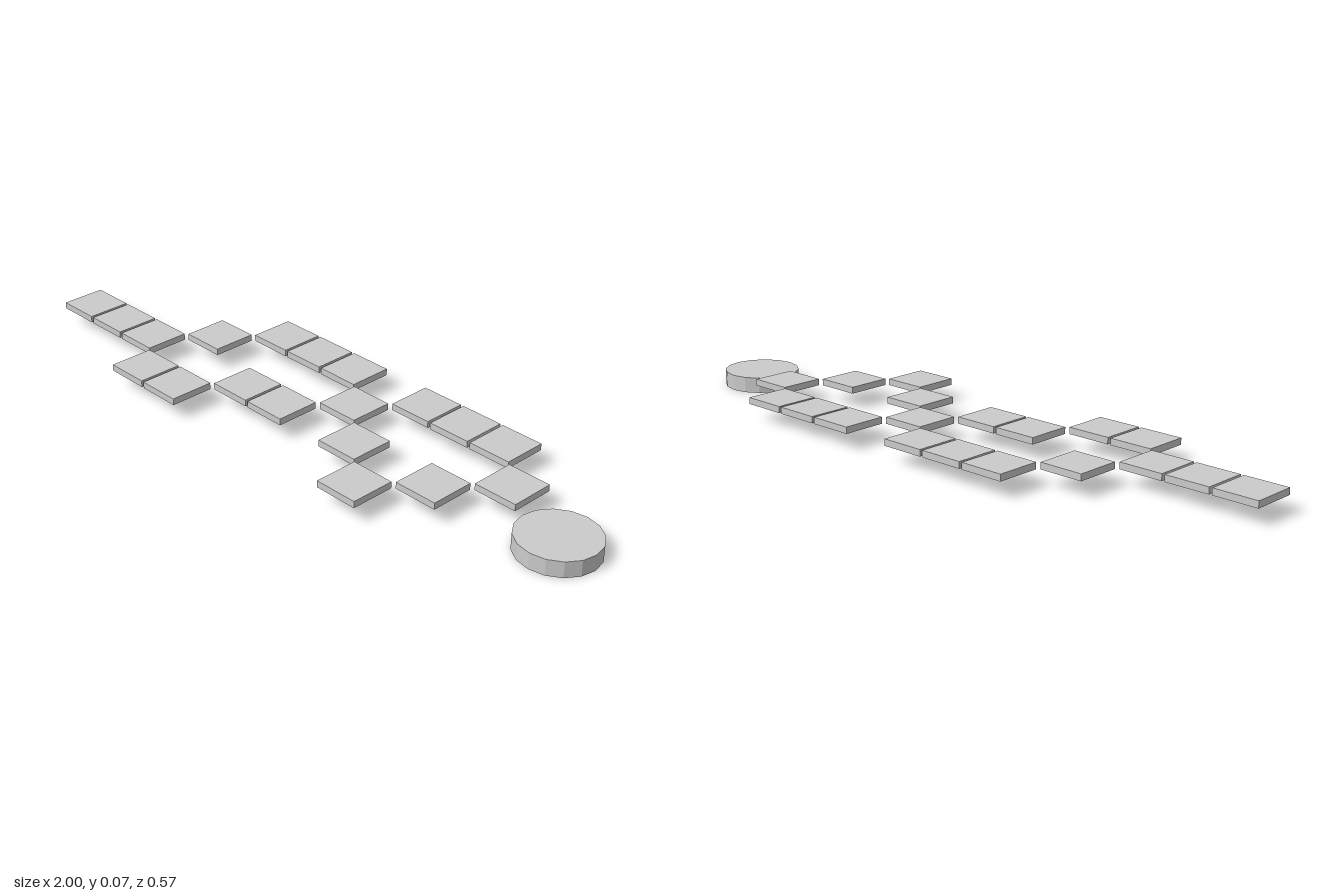
import * as THREE from 'three';

export function createModel() {
  const model = new THREE.Group();
  const material = new THREE.MeshStandardMaterial({ color: 0xcccccc, flatShading: true });

  // Flat square tiles laid out on a loose grid, back row first
  const rows = [
    '....###.###.',
    '...#...#...#',
    '###..##.#.#.',
    '...##....#..',
  ];
  const pitchX = 0.1456, pitchZ = 0.1436;
  const tileGeometry = new THREE.BoxGeometry(0.1365, 0.02, 0.1365);
  const tiles = new THREE.Group();
  tiles.name = 'tiles';
  rows.forEach((row, r) => {
    [...row].forEach((cell, c) => {
      if (cell !== '#') return;
      const tile = new THREE.Mesh(tileGeometry, material);
      tile.name = 'tile';
      tile.position.set(-0.932 + c * pitchX, 0.0575, (r - 1.5) * pitchZ);
      tiles.add(tile);
    });
  });
  model.add(tiles);

  // Thick, slightly oval disc at the end of the path
  const disc = new THREE.Mesh(new THREE.CylinderGeometry(1, 1, 0.048, 16), material);
  disc.name = 'disc';
  disc.scale.set(0.119, 1, 0.1145);
  disc.position.set(0.881, 0.024, -0.002);
  model.add(disc);

  return model;
}
